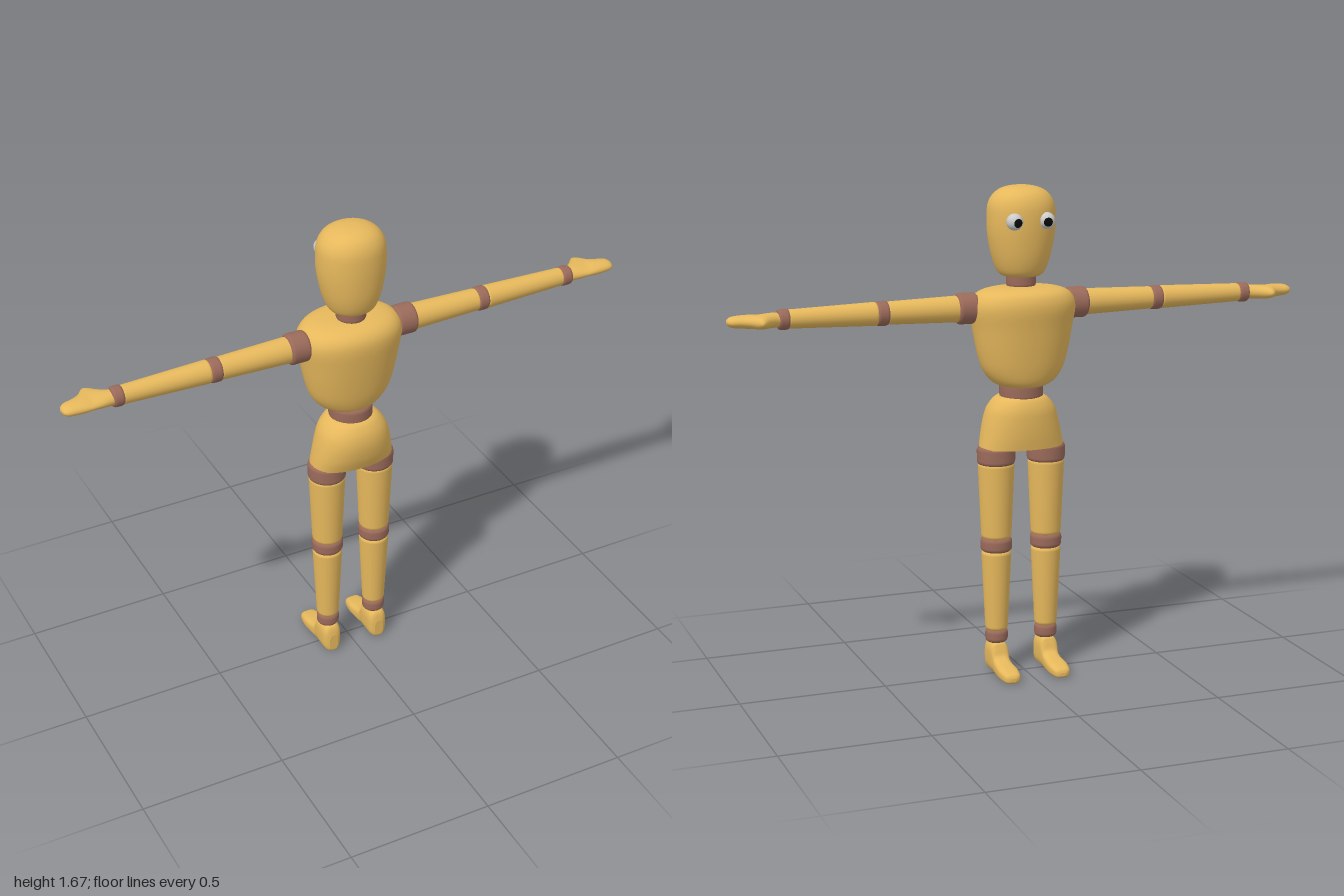
import * as THREE from 'three';

const wood = new THREE.MeshStandardMaterial({ color: 0xe6b85c });
const joint = new THREE.MeshStandardMaterial({ color: 0x9a6a5a });
const white = new THREE.MeshStandardMaterial({ color: 0xcccccc });
const black = new THREE.MeshStandardMaterial({ color: 0x0a0a0a });

function add(parent, name, geometry, material, x = 0, y = 0, z = 0) {
  const mesh = new THREE.Mesh(geometry, material);
  mesh.name = name;
  mesh.position.set(x, y, z);
  parent.add(mesh);
  return mesh;
}

// Smooth skin over superellipse sections. Each row: [t, aMin, aMax, bMin, bMax].
// Axes (a, b, t) are (y,z,x), (z,x,y) or (x,y,z) for axis 'x', 'y' or 'z'.
function loft(axis, rows, power = 2, sides = 40, steps = 40) {
  const curves = [0, 1, 2, 3, 4].map(
    (k) => new THREE.SplineCurve(rows.map((row, i) => new THREE.Vector2(i, row[k]))));
  const place = { x: (a, b, t) => [t, a, b], y: (a, b, t) => [b, t, a], z: (a, b, t) => [a, b, t] }[axis];
  const pos = [], index = [];
  const bend = (v) => Math.sign(v) * Math.abs(v) ** (2 / power);
  const ring = (u) => {
    const [t, a0, a1, b0, b1] = curves.map((c) => c.getPoint(u).y);
    const start = pos.length / 3;
    for (let j = 0; j < sides; j++) {
      const th = (j / sides) * Math.PI * 2;
      pos.push(...place((a0 + a1) / 2 + bend(Math.cos(th)) * (a1 - a0) / 2,
        (b0 + b1) / 2 + bend(Math.sin(th)) * (b1 - b0) / 2, t));
    }
    return { start, centre: place((a0 + a1) / 2, (b0 + b1) / 2, t) };
  };
  for (let i = 0; i <= steps; i++) {
    const { start } = ring(i / steps);
    if (i === 0) continue;
    for (let j = 0; j < sides; j++) {
      const k = (j + 1) % sides, low = start - sides;
      index.push(low + j, low + k, start + k, low + j, start + k, start + j);
    }
  }
  // Flat end caps with their own vertices
  for (const u of [0, 1]) {
    const { start, centre } = ring(u);
    const c = pos.length / 3;
    pos.push(...centre);
    for (let j = 0; j < sides; j++) {
      const p = start + j, q = start + (j + 1) % sides;
      if (u) index.push(c, p, q); else index.push(c, q, p);
    }
  }
  const geo = new THREE.BufferGeometry();
  geo.setAttribute('position', new THREE.Float32BufferAttribute(pos, 3));
  geo.setIndex(index);
  geo.computeVertexNormals();
  return geo;
}

// Turned peg along y from y0 to y1 with softly rounded ends
function peg(y0, y1, r0, r1, round = 0.016) {
  const pts = [[0, y0]];
  for (let i = 0; i <= 5; i++) {
    const a = (i / 5) * Math.PI / 2;
    pts.push([r0 - round * (1 - Math.sin(a)), y0 + round * (1 - Math.cos(a))]);
  }
  for (let i = 5; i >= 0; i--) {
    const a = (i / 5) * Math.PI / 2;
    pts.push([r1 - round * (1 - Math.sin(a)), y1 - round * (1 - Math.cos(a))]);
  }
  pts.push([0, y1]);
  return new THREE.LatheGeometry(pts.map(([r, y]) => new THREE.Vector2(r, y)), 32);
}

// Symmetric body section: height, half width, back z and face-side z
const body = (rows) => rows.map(([y, w, back, face]) => [y, face, back, -w, w]);

export function createModel() {
  const model = new THREE.Group();
  model.name = 'jointedMannequin';

  // Head, neck, torso, waist and pelvis
  add(model, 'head', loft('y', body([
    [1.365, 0.045, 0.075, -0.015], [1.37, 0.066, 0.095, -0.035], [1.39, 0.083, 0.112, -0.05],
    [1.44, 0.1, 0.126, -0.064], [1.51, 0.113, 0.132, -0.073], [1.57, 0.115, 0.132, -0.075],
    [1.61, 0.11, 0.127, -0.07], [1.64, 0.092, 0.112, -0.055], [1.658, 0.064, 0.088, -0.03],
    [1.666, 0.03, 0.058, 0.002], [1.667, 0.003, 0.032, 0.026]]), 2.1, 48, 50), wood);
  add(model, 'neck', peg(1.325, 1.385, 0.05, 0.05), joint, 0, 0, 0.03);
  add(model, 'torso', loft('y', body([
    [0.998, 0.06, 0.075, -0.045], [1.002, 0.082, 0.088, -0.06], [1.02, 0.112, 0.1, -0.073],
    [1.06, 0.14, 0.113, -0.083], [1.12, 0.158, 0.124, -0.092], [1.2, 0.173, 0.136, -0.102],
    [1.26, 0.183, 0.142, -0.11], [1.296, 0.174, 0.136, -0.106], [1.32, 0.148, 0.115, -0.09],
    [1.332, 0.1, 0.08, -0.055], [1.334, 0.04, 0.045, -0.01]]), 2.1, 48, 50), wood);
  add(model, 'waist', peg(0.95, 1.01, 0.074, 0.074), joint, 0, 0, 0.027);
  add(model, 'pelvis', loft('y', body([
    [0.787, 0.148, 0.115, -0.058], [0.83, 0.14, 0.13, -0.063], [0.88, 0.129, 0.137, -0.065],
    [0.92, 0.116, 0.132, -0.063], [0.95, 0.094, 0.117, -0.053], [0.963, 0.07, 0.1, -0.04],
    [0.966, 0.04, 0.07, -0.015]]), 2.2, 48), wood);

  // Eyes on the face, with pupils turned slightly inward
  for (const s of [1, -1]) {
    const eye = new THREE.Group();
    eye.name = s > 0 ? 'leftEye' : 'rightEye';
    eye.position.set(s * 0.056, 1.557, -0.063);
    eye.rotation.y = s * 0.15;
    model.add(eye);
    add(eye, 'eyeball', new THREE.SphereGeometry(0.028, 24, 16), white);
    const pupil = add(eye, 'pupil', new THREE.SphereGeometry(0.0285, 24, 8, 0, Math.PI * 2, 0, 0.55), black);
    pupil.rotation.x = -Math.PI / 2 - 0.1;
  }

  for (const s of [1, -1]) {
    const side = s > 0 ? 'left' : 'right';

    // Arm runs along +x; half a turn about z makes the other one
    const arm = new THREE.Group();
    arm.name = side + 'Arm';
    arm.position.set(0, 1.267, 0.025);
    if (s < 0) arm.rotation.z = Math.PI;
    model.add(arm);
    for (const [name, x0, x1, r0, r1, mat] of [
      ['shoulder', 0.16, 0.23, 0.052, 0.052, joint], ['upperArm', 0.22, 0.475, 0.044, 0.038, wood],
      ['elbow', 0.464, 0.508, 0.041, 0.041, joint], ['forearm', 0.5, 0.805, 0.039, 0.031, wood],
      ['wrist', 0.795, 0.836, 0.034, 0.034, joint]]) {
      add(arm, name, peg(x0, x1, r0, r1, 0.012), mat).rotation.z = -Math.PI / 2;
    }
    add(arm, 'hand', loft('x', [
      [0.82, -0.024, 0.024, -0.028, 0.028], [0.84, -0.024, 0.024, -0.034, 0.03],
      [0.865, -0.024, 0.024, -0.052, 0.033], [0.89, -0.023, 0.023, -0.078, 0.035],
      [0.905, -0.022, 0.022, -0.077, 0.036], [0.925, -0.022, 0.022, -0.052, 0.036],
      [0.95, -0.021, 0.021, -0.037, 0.035], [0.98, -0.018, 0.018, -0.029, 0.032],
      [0.995, -0.011, 0.011, -0.018, 0.023], [1, -0.003, 0.003, -0.005, 0.008]]), wood);

    // Leg
    const leg = new THREE.Group();
    leg.name = side + 'Leg';
    leg.position.set(s * 0.09, 0, 0.029);
    model.add(leg);
    for (const [name, y0, y1, r0, r1, mat] of [
      ['hip', 0.728, 0.795, 0.065, 0.065, joint], ['thigh', 0.47, 0.74, 0.052, 0.062, wood],
      ['knee', 0.425, 0.477, 0.054, 0.054, joint], ['shin', 0.145, 0.432, 0.039, 0.051, wood],
      ['ankle', 0.103, 0.152, 0.039, 0.039, joint]]) {
      add(leg, name, peg(y0, y1, r0, r1), mat);
    }
    const foot = [[-0.142, 0.01, 0.008, 0.02], [-0.132, 0.027, 0.001, 0.034], [-0.09, 0.035, 0, 0.044],
      [-0.05, 0.033, 0, 0.05], [-0.022, 0.031, 0, 0.062], [-0.01, 0.031, 0, 0.09],
      [0.002, 0.033, 0, 0.107], [0.05, 0.034, 0, 0.109], [0.069, 0.028, 0, 0.1], [0.077, 0.016, 0.008, 0.07]];
    add(leg, 'foot', loft('z', foot.map(([z, w, y0, y1]) => [z, -w, w, y0, y1]), 3), wood, 0, 0, -0.029);
  }
  return model;
}
